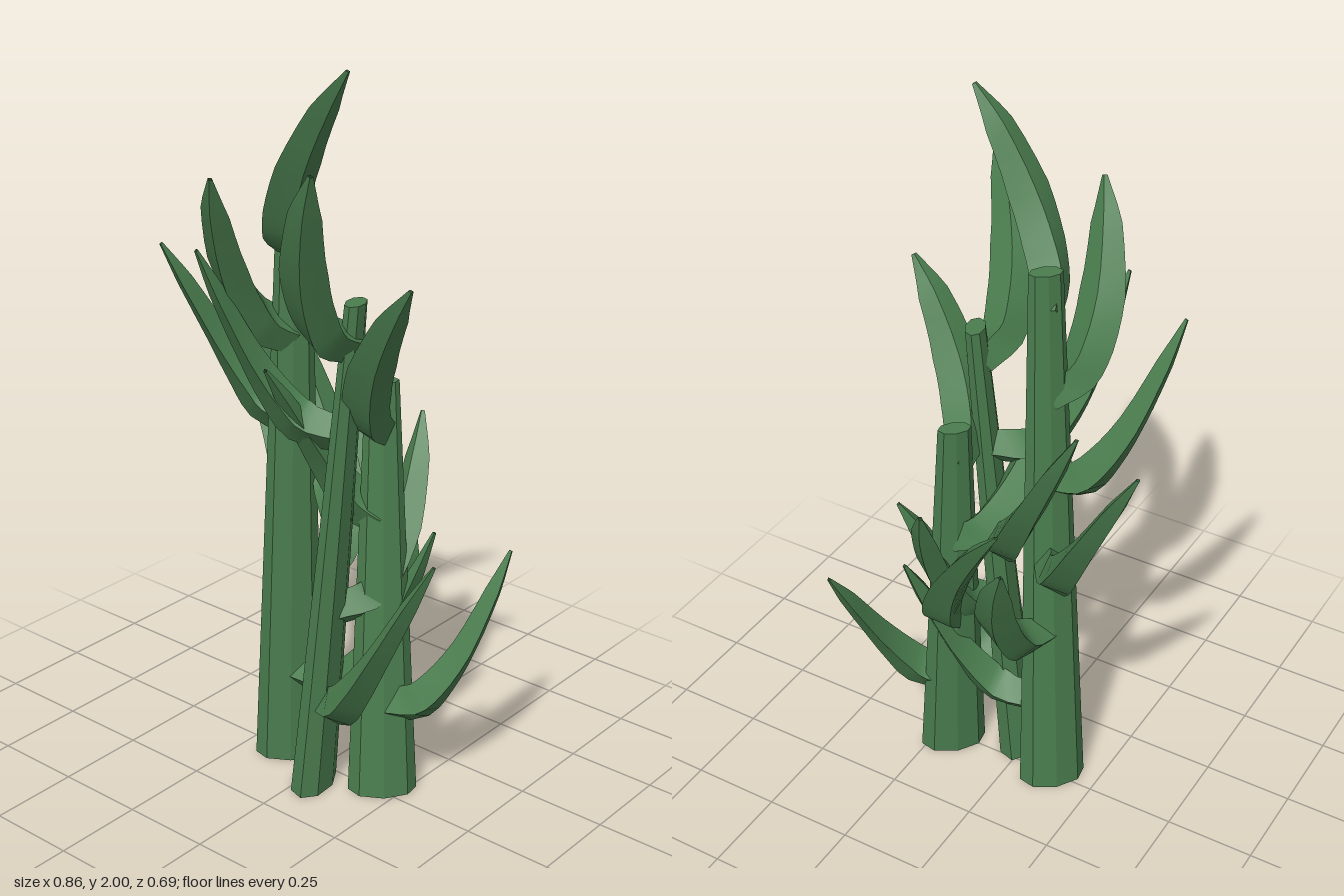
import * as THREE from 'three';

const green = new THREE.MeshStandardMaterial({ color: 0x4a7d4e, side: THREE.DoubleSide });
const greenFlat = new THREE.MeshStandardMaterial({ color: 0x4a7d4e, flatShading: true });

// Each stem: foot, top, turn of its oval section, and its spiral of leaves as [height on stem, tip x, y, z]
const stems = [
  {
    name: 'tallStem', foot: [-0.125, 0, 0], top: [-0.07, 1.62, 0.03], turn: -0.77,
    leaves: [
      [1.51, 0.2, 2.0, 0.15], [1.27, -0.06, 1.74, 0.34], [1.03, -0.37, 1.49, 0.2],
      [0.78, -0.42, 1.23, -0.13], [0.54, -0.16, 0.97, -0.34], [0.28, 0.24, 0.73, -0.17],
    ],
  },
  {
    name: 'thinStem', foot: [0.03, 0, 0.077], top: [0.135, 1.4, 0.035], turn: 1.26,
    leaves: [
      [1.3, 0.25, 1.8, 0.34], [1.05, -0.17, 1.53, 0.28], [0.81, -0.24, 1.27, -0.11],
      [0.54, 0.11, 1.01, -0.28], [0.27, 0.39, 0.75, 0.03],
    ],
  },
  {
    name: 'shortStem', foot: [0.195, 0, -0.018], top: [0.13, 1.16, -0.08], turn: -0.77,
    leaves: [
      [1.04, 0.37, 1.5, 0.12], [0.79, -0.02, 1.23, 0.2], [0.52, -0.07, 0.97, -0.21],
      [0.26, 0.41, 0.69, -0.28],
    ],
  },
];

// Leaf midline: [share of reach, sideways swing, share of rise, half width, half thickness]
const leafProfile = [
  [0.0, 0.0, -0.02, 0.04, 0.048],
  [0.26, 0.048, 0.05, 0.058, 0.06],
  [0.42, 0.063, 0.19, 0.063, 0.048],
  [0.62, 0.062, 0.43, 0.062, 0.034],
  [0.85, 0.032, 0.77, 0.042, 0.022],
  [1.0, 0.0, 1.0, 0.007, 0.005],
];

function leafGeometry(base, tip) {
  const out = new THREE.Vector3(tip.x - base.x, 0, tip.z - base.z);
  const reach = out.length(), rise = tip.y - base.y;
  out.normalize();
  const side = new THREE.Vector3(-out.z, 0, out.x);
  // Leaves with a short reach stand steeper from the start
  const steep = (0.34 / reach) ** 2;
  const curve = new THREE.CatmullRomCurve3(leafProfile.map(([u, v, h]) =>
    base.clone().addScaledVector(out, u ** steep * reach).addScaledVector(side, v)
      .add(new THREE.Vector3(0, (h + (steep - 1) * u * (1 - u)) * rise, 0))));

  // Rings of four corners along the curve
  const steps = 15, last = leafProfile.length - 1, rings = [];
  for (let i = 0; i <= steps; i++) {
    const t = i / steps;
    const k = Math.min(Math.floor(t * last), last - 1), f = t * last - k;
    const size = (c) => THREE.MathUtils.lerp(leafProfile[k][c], leafProfile[k + 1][c], f);
    const p = curve.getPoint(t), dir = curve.getTangent(t);
    const w = side.clone().addScaledVector(dir, -side.dot(dir)).normalize();
    const n = dir.clone().cross(w);
    w.multiplyScalar(size(3));
    n.multiplyScalar(size(4));
    rings.push([p.clone().add(w), p.clone().add(n), p.clone().sub(w), p.clone().sub(n)]);
  }

  // Four separate strips keep the ridges sharp and the length smooth
  const pos = [], index = [];
  for (let s = 0; s < 4; s++) {
    const start = pos.length / 3;
    rings.forEach((r) => pos.push(...r[s].toArray(), ...r[(s + 1) % 4].toArray()));
    for (let i = 0; i < steps; i++) {
      const a = start + i * 2;
      index.push(a, a + 1, a + 3, a, a + 3, a + 2);
    }
  }
  const g = new THREE.BufferGeometry();
  g.setAttribute('position', new THREE.Float32BufferAttribute(pos, 3));
  g.setIndex(index);
  g.computeVertexNormals();
  return g;
}

// Tapered eight-sided stalk of oval section, sheared so both ends stay level
function stalkGeometry(foot, top, turn) {
  const h = top.y - foot.y;
  const g = new THREE.CylinderGeometry(0.47, 1, h, 8);
  g.scale(0.094, 1, 0.056).rotateY(-turn).translate(0, h / 2, 0);
  const p = g.attributes.position;
  for (let i = 0; i < p.count; i++) {
    const c = foot.clone().lerp(top, p.getY(i) / h);
    p.setXYZ(i, p.getX(i) + c.x, c.y, p.getZ(i) + c.z);
  }
  g.computeVertexNormals();
  return g;
}

export function createModel() {
  const model = new THREE.Group();
  model.name = 'leafyStalks';
  for (const s of stems) {
    const foot = new THREE.Vector3(...s.foot), top = new THREE.Vector3(...s.top);
    const plant = new THREE.Group();
    plant.name = s.name;

    const stalk = new THREE.Mesh(stalkGeometry(foot, top, s.turn), greenFlat);
    stalk.name = 'stalk';
    plant.add(stalk);

    for (const [y, ...tip] of s.leaves) {
      const base = foot.clone().lerp(top, y / top.y);
      const leaf = new THREE.Mesh(leafGeometry(base, new THREE.Vector3(...tip)), green);
      leaf.name = 'leaf';
      plant.add(leaf);
    }
    model.add(plant);
  }
  return model;
}
